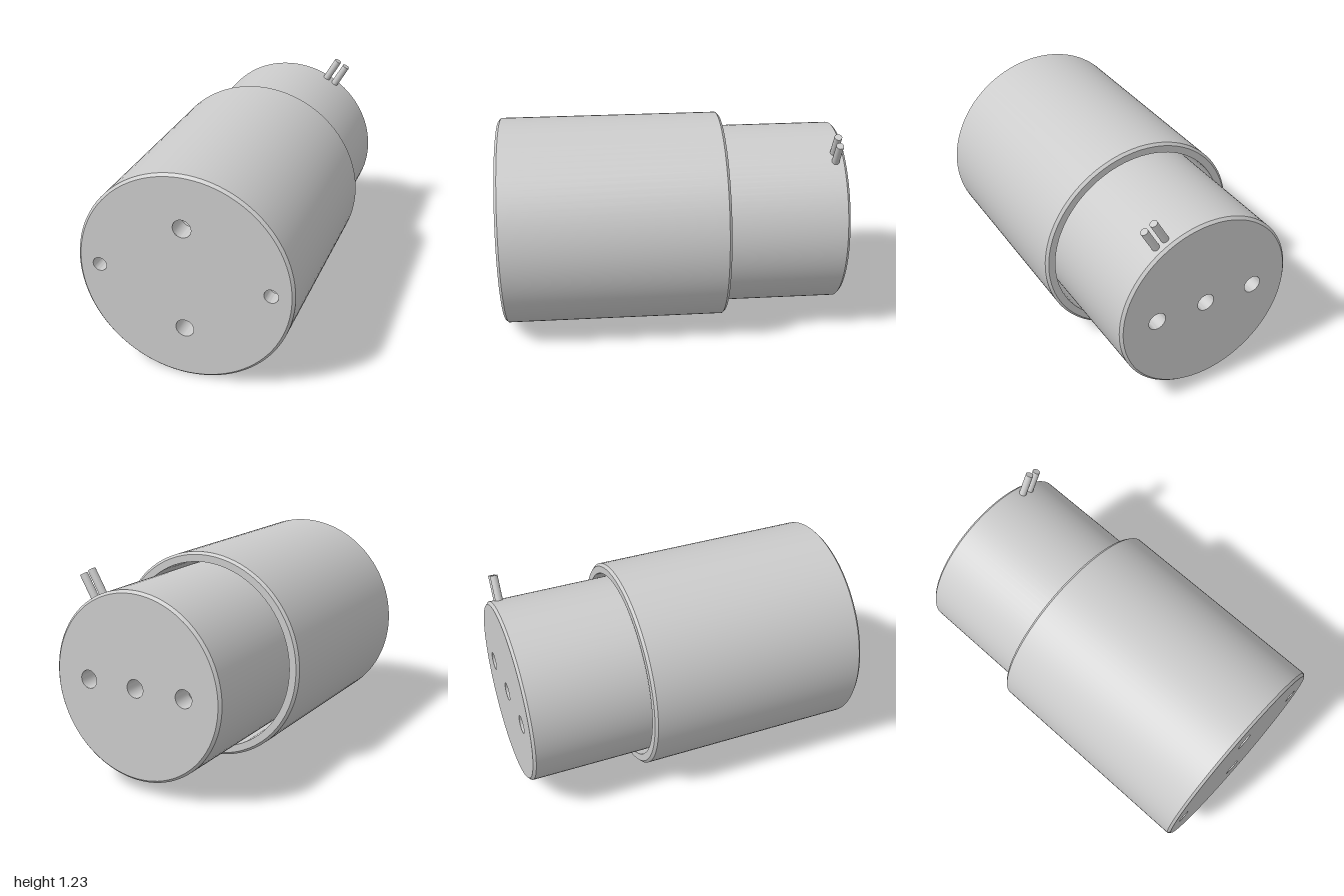
import * as THREE from 'three';
import { toCreasedNormals } from 'three/addons/utils/BufferGeometryUtils.js';

const material = new THREE.MeshStandardMaterial({ color: 0xcccccc });
const AXIS_Y = 0.617;

function addMesh(parent, name, geometry) {
  const mesh = new THREE.Mesh(geometry, material);
  mesh.name = name;
  parent.add(mesh);
  return mesh;
}

// Turned surface around the z axis; profile is a list of [radius, z]
function turned(profile, segments) {
  const points = profile.map(([r, z]) => new THREE.Vector2(r, z));
  const geometry = new THREE.LatheGeometry(points, segments).rotateX(Math.PI / 2);
  return toCreasedNormals(geometry, 0.5);
}

// Flat round end face with blind, cone-bottomed drill holes; faces +z
function drilledFace(name, radius, holes) {
  const group = new THREE.Group();
  group.name = name;
  const shape = new THREE.Shape().absarc(0, 0, radius, 0, Math.PI * 2, false);
  for (const [x, y, r] of holes) {
    shape.holes.push(new THREE.Path().absarc(x, y, r, 0, Math.PI * 2, true));
    const depth = r * 2.4;
    const hole = addMesh(group, 'drillHole',
      turned([[r, 0], [r, -depth], [0, -depth - r * 0.6]], 48));
    hole.position.set(x, y, 0);
  }
  addMesh(group, name + 'Plate', new THREE.ShapeGeometry(shape, 48));
  return group;
}

export function createModel() {
  const model = new THREE.Group();
  model.name = 'steppedCylinder';
  const body = new THREE.Group();
  body.name = 'body';
  body.position.y = AXIS_Y;
  model.add(body);

  // Wide sleeve: gap floor, bore, rear rim and chamfered outside
  addMesh(body, 'outerSleeve', turned([
    [0.535, 0.85], [0.56, 0.85], [0.56, -0.31], [0.602, -0.31],
    [0.617, -0.295], [0.617, 0.985], [0.602, 1],
  ], 96));

  // Narrower barrel running inside the sleeve
  addMesh(body, 'innerBarrel', turned([
    [0.52, -1], [0.535, -0.985], [0.535, 0.85],
  ], 96));

  // Front face with four holes
  const front = drilledFace('frontFace', 0.602, [
    [0, 0.308, 0.052], [0, -0.308, 0.052], [0.49, 0, 0.04], [-0.49, 0, 0.04],
  ]);
  front.position.z = 1;
  body.add(front);

  // Rear face with three holes in a row
  const rear = drilledFace('rearFace', 0.52,
    [-0.31, 0, 0.31].map((x) => [x, 0, 0.052]));
  rear.rotation.y = Math.PI;
  rear.position.z = -1;
  body.add(rear);

  // Pair of parallel pins leaning outward near the rear end
  const pins = new THREE.Group();
  pins.name = 'pins';
  pins.rotation.z = -Math.PI / 6;
  body.add(pins);
  for (const side of [-1, 1]) {
    const pin = addMesh(pins, 'pin', new THREE.CylinderGeometry(0.022, 0.022, 0.178, 32));
    pin.position.set(side * 0.0315, 0.589, -0.938);
  }
  return model;
}
